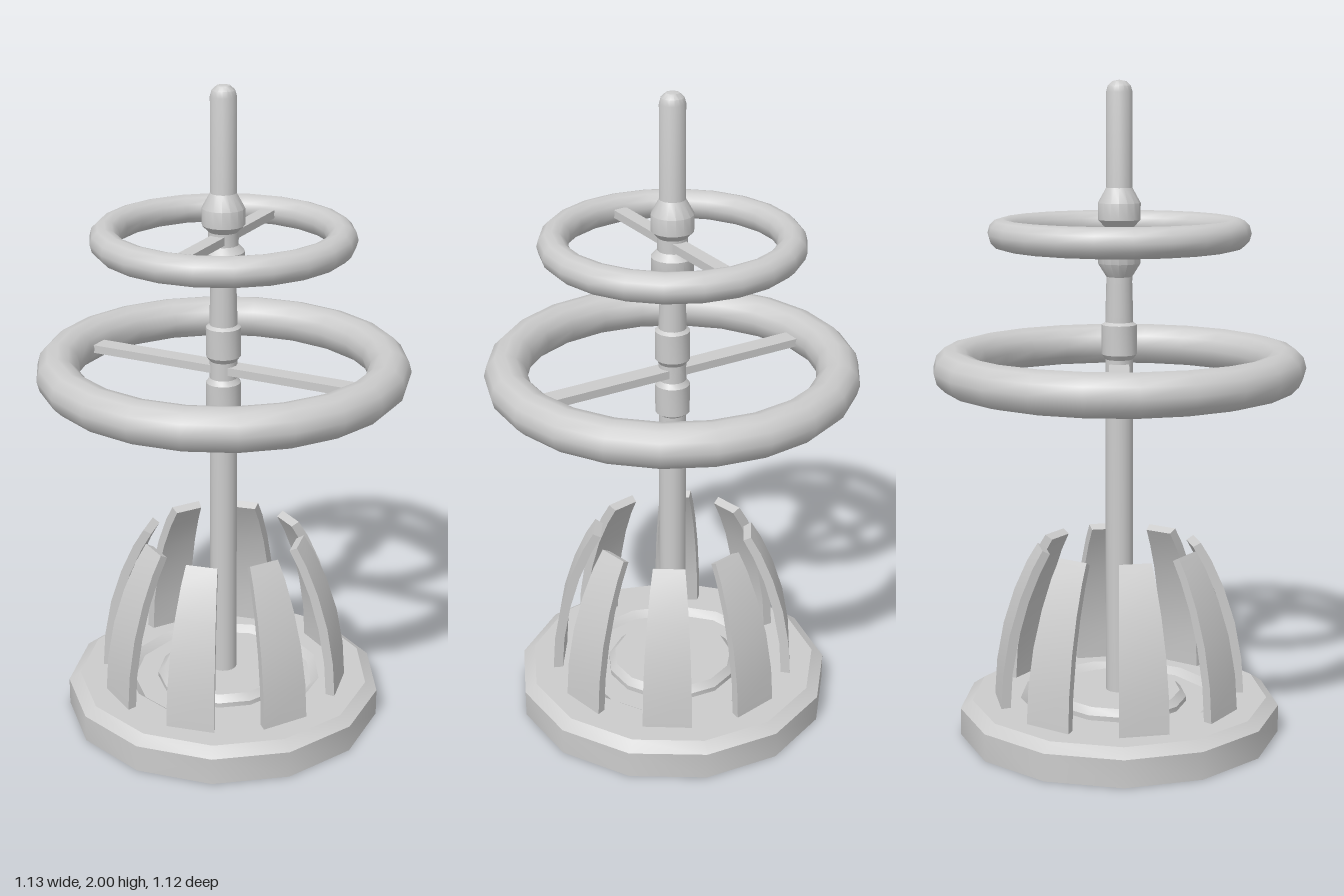
import * as THREE from 'three';
import { toCreasedNormals } from 'three/addons/utils/BufferGeometryUtils.js';

const material = new THREE.MeshStandardMaterial({ color: 0xcccccc });

function part(name, geometry, parent) {
  const mesh = new THREE.Mesh(geometry, material);
  mesh.name = name;
  parent.add(mesh);
  return mesh;
}

// Turned solid from [radius, height] pairs, listed from the bottom up
function turned(points, sides) {
  const profile = points.map(([r, y]) => new THREE.Vector2(r, y));
  return toCreasedNormals(new THREE.LatheGeometry(profile, sides), 0.55);
}

// Curved fin: a bent profile swept over a sixteenth of a turn
function finGeometry() {
  const outer = [[0.39, 0.1], [0.382, 0.22], [0.36, 0.34], [0.325, 0.45], [0.285, 0.54], [0.252, 0.595]];
  const inner = [[0.228, 0.582], [0.26, 0.525], [0.298, 0.438], [0.33, 0.332], [0.352, 0.217], [0.36, 0.1]];
  const shape = new THREE.Shape([...outer, ...inner].map(([r, y]) => new THREE.Vector2(r, y)));
  const geometry = new THREE.ExtrudeGeometry(shape, { depth: 1, bevelEnabled: false });
  const p = geometry.attributes.position;
  for (let i = 0; i < p.count; i++) {
    const r = p.getX(i);
    const angle = -p.getZ(i) * Math.PI / 8;
    p.setXYZ(i, r * Math.sin(angle), p.getY(i), r * Math.cos(angle));
  }
  return toCreasedNormals(geometry, 0.5);
}

// Ring with a flat bar across it
function wheel(name, y, radius, tube, barWidth, barTurn) {
  const group = new THREE.Group();
  group.name = name;
  group.position.y = y;
  part('ring', new THREE.TorusGeometry(radius, tube, 12, 22).rotateX(Math.PI / 2), group);
  const bar = part('crossBar', new THREE.BoxGeometry(radius * 2, 0.025, barWidth), group);
  bar.rotation.y = barTurn;
  return group;
}

export function createModel() {
  const model = new THREE.Group();
  model.name = 'ringStand';

  // Base with a shallow recess and a raised centre disc
  part('base', turned([
    [0, 0], [0.497, 0], [0.497, 0.085], [0.46, 0.11], [0.31, 0.11], [0.285, 0.09],
    [0.21, 0.09], [0.21, 0.105], [0.19, 0.125], [0, 0.125],
  ], 13), model);

  // Eight fins around the base
  const fins = new THREE.Group();
  fins.name = 'fins';
  const fin = finGeometry();
  for (let i = 0; i < 8; i++) {
    part('fin', fin, fins).rotation.y = i * Math.PI / 4;
  }
  model.add(fins);

  // Pole with a rounded tip
  part('pole', turned([
    [0.042, 0.11], [0.042, 1.3], [0.039, 1.4], [0.039, 1.965], [0.034, 1.983], [0.02, 1.996], [0, 2],
  ], 16), model);

  // Grooved collars that carry the rings
  part('lowerCollar', turned([
    [0.04, 1], [0.053, 1.01], [0.053, 1.1], [0.042, 1.115], [0.042, 1.17],
    [0.053, 1.185], [0.053, 1.275], [0.04, 1.285],
  ], 16), model);
  part('upperCollar', turned([
    [0.039, 1.42], [0.064, 1.46], [0.064, 1.51], [0.045, 1.53], [0.045, 1.57],
    [0.064, 1.59], [0.064, 1.64], [0.039, 1.685],
  ], 16), model);

  // Two wheels with crossed bars
  model.add(wheel('lowerWheel', 1.145, 0.5, 0.065, 0.06, -Math.PI / 8));
  model.add(wheel('upperWheel', 1.55, 0.35, 0.045, 0.045, Math.PI * 3 / 8));

  return model;
}
